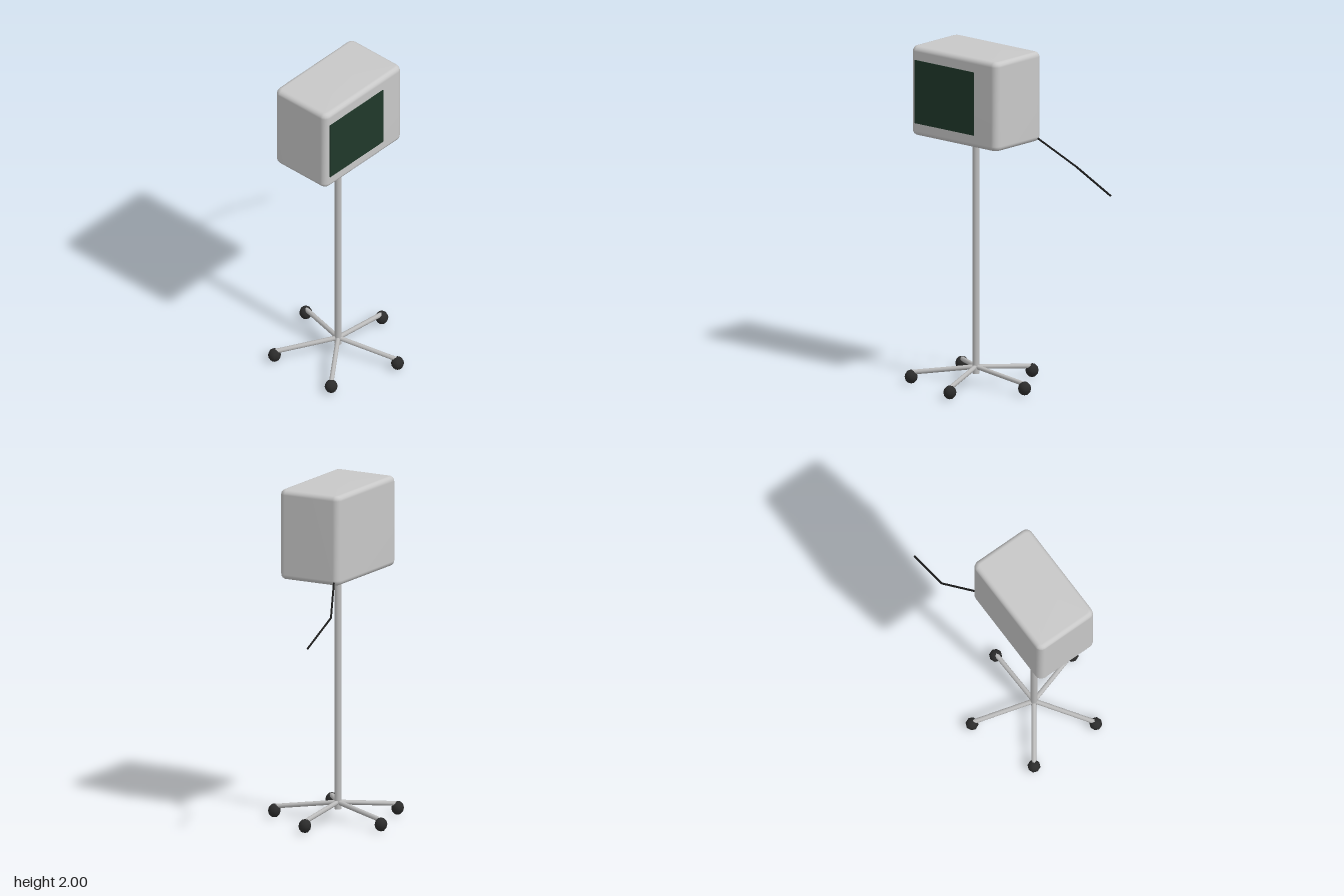
import * as THREE from 'three';

const mat = (name, color, side = THREE.FrontSide) => {
  const m = new THREE.MeshStandardMaterial({ color, side });
  m.name = name;
  return m;
};

// Soft-edged box made of rounded-rectangle rings, closed by a fan at each end
function softBox(w, h, d, edge, corner) {
  const pos = [], index = [], steps = 4, n = 4 * (steps + 1);
  const ring = (inset, y) => {
    const r = corner - inset;
    for (let q = 0; q < 4; q++) {
      const sx = q === 0 || q === 3 ? 1 : -1, sz = q < 2 ? 1 : -1;
      for (let i = 0; i <= steps; i++) {
        const a = (q + i / steps) * Math.PI / 2;
        pos.push(sx * (w / 2 - corner) + r * Math.cos(a), y, sz * (d / 2 - corner) + r * Math.sin(a));
      }
    }
  };
  for (const s of [-1, 1]) {
    for (let i = 0; i <= steps; i++) {
      const a = (s < 0 ? i / steps : 1 - i / steps) * Math.PI / 2;
      ring(edge * (1 - Math.sin(a)), s * (h / 2 - edge + edge * Math.cos(a)));
    }
  }
  const rings = 2 * (steps + 1), bottom = rings * n, top = bottom + 1;
  pos.push(0, -h / 2, 0, 0, h / 2, 0);
  for (let j = 0; j < n; j++) {
    const k = (j + 1) % n;
    for (let i = 0; i < rings - 1; i++) {
      const a = i * n + j, b = i * n + k;
      index.push(a, a + n, b, b, a + n, b + n);
    }
    index.push(bottom, j, k, top, (rings - 1) * n + k, (rings - 1) * n + j);
  }
  const g = new THREE.BufferGeometry();
  g.setAttribute('position', new THREE.Float32BufferAttribute(pos, 3));
  g.setIndex(index);
  g.computeVertexNormals();
  return g;
}

// Round bar between two points
function bar(name, from, to, radius, material, sides = 8) {
  const dir = to.clone().sub(from);
  const m = new THREE.Mesh(new THREE.CylinderGeometry(radius, radius, dir.length(), sides), material);
  m.position.copy(from).add(to).multiplyScalar(0.5);
  m.quaternion.setFromUnitVectors(new THREE.Vector3(0, 1, 0), dir.normalize());
  m.name = name;
  return m;
}

export function createModel() {
  const model = new THREE.Group();
  model.name = 'monitorStand';
  const casing = mat('casing grey', 0xc8c8c8);
  const metal = mat('stand metal', 0xbcbcbc);
  const rubber = mat('caster rubber', 0x2c2c2c);
  const cord = mat('cord black', 0x1c1c1c);
  const glass = mat('screen green', 0x20382a);
  const cx = -0.235;
  const v = (x, y, z) => new THREE.Vector3(x, y, z);

  // Housing and its screen plate
  const housing = new THREE.Mesh(softBox(0.664, 0.53, 0.4, 0.03, 0.04), casing);
  housing.position.set(-0.233, 1.735, 0);
  housing.name = 'housing';
  const screen = new THREE.Mesh(new THREE.BoxGeometry(0.457, 0.375, 0.008), glass);
  screen.position.set(-0.299, 1.733, 0.2);
  screen.name = 'screen';
  model.add(housing, screen);

  // Pole
  model.add(bar('pole', v(cx, 0.07, 0), v(cx, 1.49, 0), 0.021, metal, 12));

  // Five legs, each ending in a caster
  for (let i = 0; i < 5; i++) {
    const a = i * Math.PI * 2 / 5, c = Math.cos(a), s = Math.sin(a);
    model.add(bar('leg', v(cx, 0.11, 0), v(cx + 0.375 * c, 0.067, 0.375 * s), 0.014, metal));
    const caster = new THREE.Mesh(new THREE.SphereGeometry(0.038, 8, 6), rubber);
    caster.position.set(cx + 0.375 * c, 0.042, 0.375 * s);
    caster.scale.y = 1.08;
    caster.name = 'caster';
    model.add(caster);
  }

  // Trailing cable, in two straight runs
  const bend = v(0.3, 1.335, -0.269);
  model.add(bar('cableUpper', v(0.08, 1.499, -0.16), bend, 0.006, cord, 6));
  model.add(bar('cableLower', bend, v(0.565, 1.205, -0.269), 0.006, cord, 6));
  return model;
}
